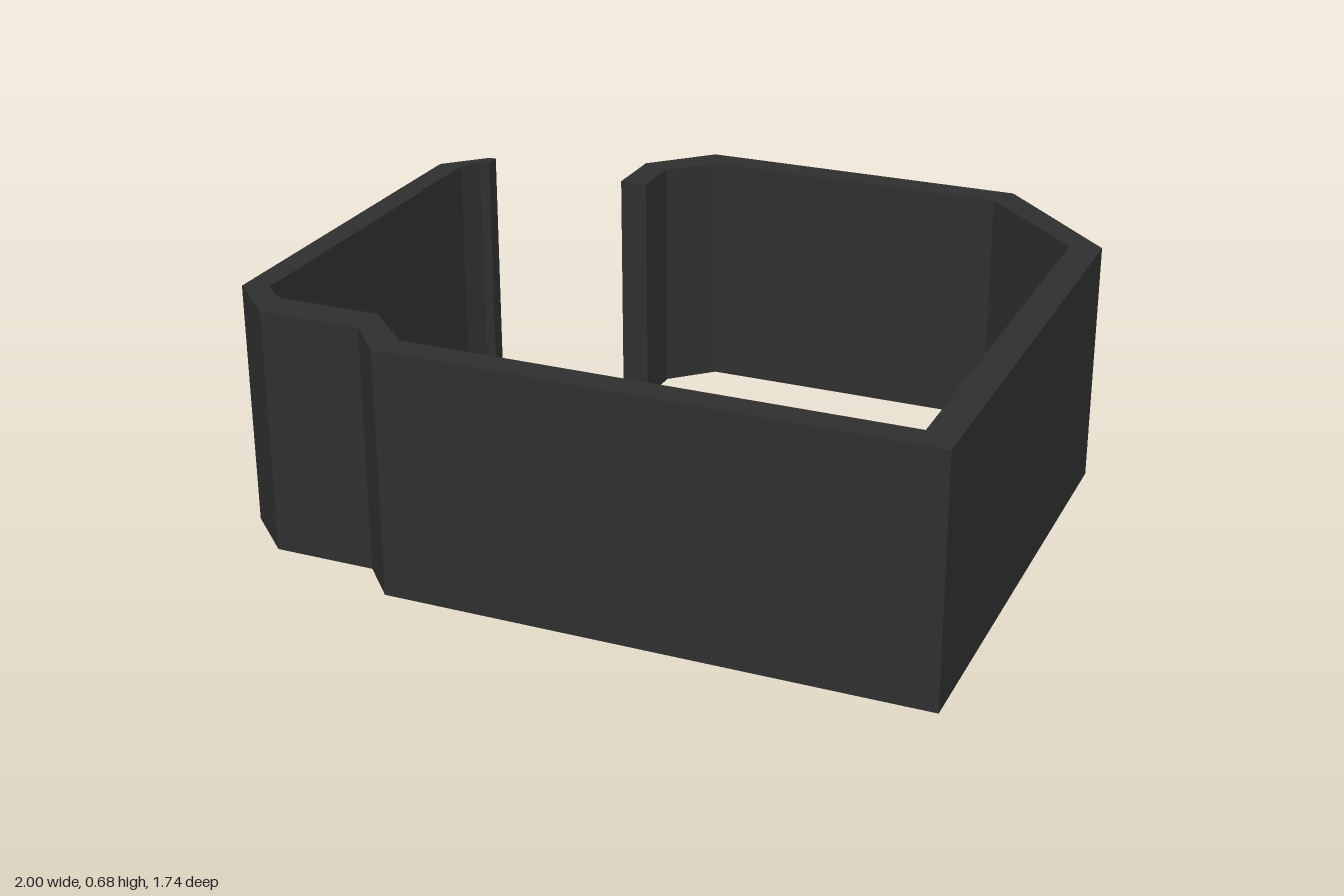
import * as THREE from 'three';

const HEIGHT = 0.68;

// Plan outlines as [x, z] pairs, from the hooked end round to the lipped end
const outer = [
  [-0.87, -0.575], [-0.89, -0.575], [-1, -0.465], [-1, 0.62], [-0.86, 0.755],
  [-0.575, 0.755], [-0.475, 0.865], [1, 0.865], [1, -0.525], [0.655, -0.87],
  [-0.275, -0.87], [-0.435, -0.71], [-0.435, -0.53],
];
const inner = [
  [-0.355, -0.53], [-0.355, -0.68], [-0.24, -0.79], [0.62, -0.79], [0.915, -0.505],
  [0.915, 0.785], [-0.44, 0.785], [-0.575, 0.655], [-0.865, 0.655], [-0.93, 0.6],
  [-0.93, -0.23], [-0.935, -0.24], [-0.93, -0.465], [-0.9, -0.53], [-0.87, -0.53],
];

export function createModel() {
  const charcoal = new THREE.MeshStandardMaterial({ color: 0x2f2f2f });
  charcoal.name = 'charcoal';

  // Open bent band, extruded upwards from the plan outline
  const shape = new THREE.Shape([...outer, ...inner].map(([x, z]) => new THREE.Vector2(x, -z)));
  const geometry = new THREE.ExtrudeGeometry(shape, { depth: HEIGHT, bevelEnabled: false });
  geometry.rotateX(-Math.PI / 2);

  const band = new THREE.Mesh(geometry, charcoal);
  band.name = 'openBand';

  const model = new THREE.Group();
  model.name = 'bentClip';
  model.add(band);
  return model;
}
